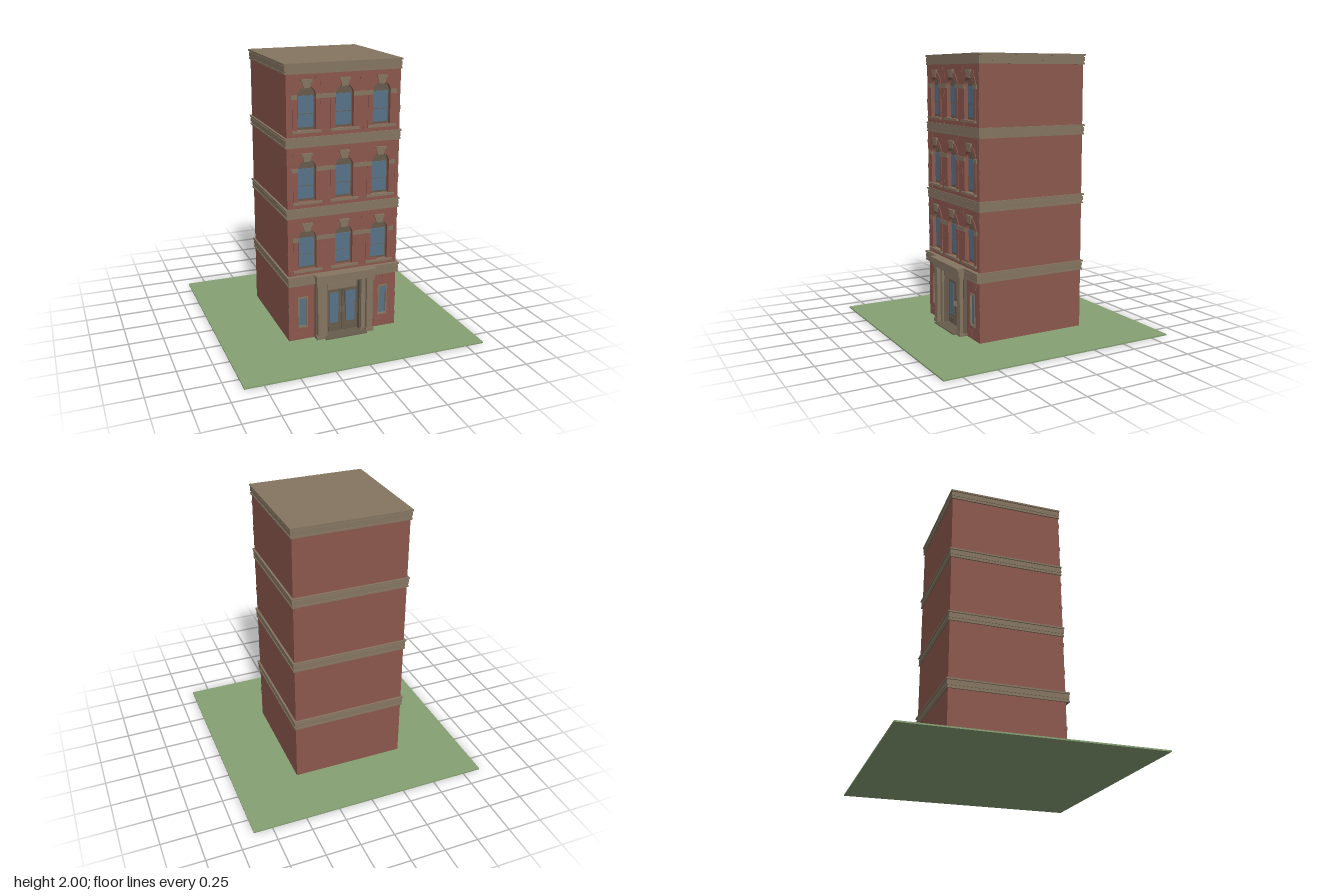
import * as THREE from 'three';

const mat = (name, color) => {
  const m = new THREE.MeshStandardMaterial({ color });
  m.name = name;
  return m;
};

export function createModel() {
  const model = new THREE.Group();
  model.name = 'townhouse';
  const brick = mat('brick red', 0x8c584d);
  const stone = mat('tan stone', 0x857561);
  const dark = mat('dark stone', 0x675c4d);
  const glass = mat('blue glass', 0x587389);
  const grass = mat('grass green', 0x86a073);

  const add = (name, geometry, material, parent = model) => {
    const mesh = new THREE.Mesh(geometry, material);
    mesh.name = name;
    parent.add(mesh);
    return mesh;
  };
  // Box given by its limits on each axis
  const box = (name, material, x0, x1, y0, y1, z0, z1, parent) => {
    const g = new THREE.BoxGeometry(x1 - x0, y1 - y0, z1 - z0);
    g.translate((x0 + x1) / 2, (y0 + y1) / 2, (z0 + z1) / 2);
    return add(name, g, material, parent);
  };
  // Round-headed outline: half width, sill height and spring height
  const arch = (Type, cx, hw, y0, ys) => {
    const p = new Type();
    p.moveTo(cx - hw, y0);
    p.lineTo(cx + hw, y0);
    p.lineTo(cx + hw, ys);
    p.absarc(cx, ys, hw, 0, Math.PI, false);
    p.lineTo(cx - hw, y0);
    return p;
  };
  const rect = (Type, x0, x1, y0, y1) => {
    const p = new Type();
    p.moveTo(x0, y0);
    p.lineTo(x1, y0);
    p.lineTo(x1, y1);
    p.lineTo(x0, y1);
    p.lineTo(x0, y0);
    return p;
  };
  const extrude = (shape, z0, z1) => {
    const g = new THREE.ExtrudeGeometry(shape, { depth: z1 - z0, bevelEnabled: false, curveSegments: 16 });
    return g.translate(0, 0, z0);
  };

  const W = 0.415, BACK = -0.45, FRONT = 0.385, INNER = 0.35;
  const columns = [-0.273, 0, 0.273];
  const floors = [0.5, 1.0, 1.5];

  // Lawn, main block and pierced front wall
  box('lawn', grass, -0.885, 0.885, 0, 0.01, -0.885, 0.885);
  box('buildingBody', brick, -W, W, 0.01, 1.97, BACK, INNER);
  const wall = rect(THREE.Shape, -W, W, 0.01, 1.97);
  for (const f of floors) for (const x of columns) wall.holes.push(arch(THREE.Path, x, 0.066, f + 0.05, f + 0.28));
  for (const s of [-1, 1]) wall.holes.push(rect(THREE.Path, s * 0.31 - 0.03, s * 0.31 + 0.03, 0.11, 0.335));
  wall.holes.push(rect(THREE.Path, -0.14, 0.14, 0.015, 0.44));
  add('frontWall', extrude(wall, INNER, FRONT), brick);

  // Arched windows, repeated on three floors
  const arched = (x, f) => {
    const g = new THREE.Group();
    g.name = 'archedWindow';
    g.position.set(x, f, 0);
    model.add(g);
    add('windowFrame', extrude(arch(THREE.Shape, 0, 0.066, 0.05, 0.28), INNER, 0.36), dark, g);
    box('lowerPane', glass, -0.056, 0.056, 0.067, 0.154, 0.36, 0.363, g);
    box('upperPane', glass, -0.056, 0.056, 0.16, 0.28, 0.36, 0.366, g);
    const surround = arch(THREE.Shape, 0, 0.1, 0.05, 0.28);
    surround.holes.push(arch(THREE.Path, 0, 0.066, 0.0501, 0.28));
    add('brickSurround', extrude(surround, FRONT, 0.39), brick, g);
    box('sill', stone, -0.106, 0.106, 0.034, 0.05, 0.36, 0.402, g);
    const key = new THREE.Shape([[-0.022, 0.335], [0.022, 0.335], [0.032, 0.377], [-0.032, 0.377]]
      .map(([a, b]) => new THREE.Vector2(a, b)));
    add('keystone', extrude(key, 0.37, 0.397), stone, g);
    box('keystoneCap', stone, -0.038, 0.038, 0.377, 0.393, 0.38, 0.401, g);
  };
  for (const f of floors) {
    for (const x of columns) arched(x, f);
    for (const [a, b] of [[-0.385, -0.339], [-0.207, -0.066], [0.066, 0.207], [0.339, 0.385]])
      box('impostBand', stone, a, b, f + 0.262, f + 0.292, 0.38, 0.393);
  }

  // Stepped cornices: bottom, top, side overhang and front overhang
  const layers = [[0, 0.012, 0.01, 0.004], [0.012, 0.022, 0.005, 0.002], [0.022, 0.052, 0.009, 0.004],
    [0.052, 0.06, 0.005, 0.002], [0.06, 0.072, 0.014, 0.007]];
  for (const y of [0.438, 0.932, 1.432, 1.928])
    for (const [a, b, side, front] of layers) {
      const extra = y < 0.5 ? 0.022 : 0;
      box('cornice', stone, -W - side, W + side, y + a, y + b, BACK - side, FRONT + front + extra);
    }

  // Entrance porch
  for (const [a, b, hw, z] of [[0.438, 0.452, 0.222, 0.445], [0.452, 0.492, 0.225, 0.452], [0.492, 0.51, 0.23, 0.465]])
    box('porchEntablature', stone, -hw, hw, a, b, 0.36, z);
  box('doorStep', dark, -0.16, 0.16, 0.01, 0.018, 0.35, 0.465);
  for (const s of [-1, 1]) {
    const side = (name, m, a, b, y0, y1, z0, z1) =>
      box(name, m, Math.min(s * a, s * b), Math.max(s * a, s * b), y0, y1, z0, z1);
    side('porchPillar', stone, 0.165, 0.212, 0.01, 0.438, 0.36, 0.438);
    side('pillarBase', stone, 0.16, 0.222, 0.01, 0.035, 0.36, 0.443);
    side('pillarCapital', stone, 0.16, 0.22, 0.418, 0.438, 0.36, 0.443);
    side('pillarBackStrip', dark, 0.212, 0.222, 0.01, 0.438, 0.36, 0.41);
    side('innerPilaster', stone, 0.132, 0.165, 0.01, 0.438, 0.35, 0.412);
    side('pilasterEdge', dark, 0.124, 0.132, 0.01, 0.438, 0.35, 0.395);
    // Double door leaf
    side('doorLeaf', dark, 0.003, 0.124, 0.018, 0.345, 0.35, 0.362);
    side('doorGlassFrame', dark, 0.022, 0.108, 0.078, 0.337, 0.362, 0.365);
    side('doorGlass', glass, 0.03, 0.1, 0.088, 0.328, 0.365, 0.368);
    side('doorPanel', dark, 0.022, 0.108, 0.028, 0.066, 0.362, 0.368);
    side('doorHandle', stone, 0.008, 0.014, 0.17, 0.205, 0.362, 0.375);
    // Narrow ground-floor window
    side('sideWindowGlass', glass, 0.28, 0.34, 0.11, 0.335, INNER, 0.378);
    const frame = rect(THREE.Shape, s * 0.31 - 0.037, s * 0.31 + 0.037, 0.103, 0.342);
    frame.holes.push(rect(THREE.Path, s * 0.31 - 0.027, s * 0.31 + 0.027, 0.116, 0.33));
    add('sideWindowFrame', extrude(frame, 0.37, 0.391), stone);
  }
  box('transom', dark, -0.124, 0.124, 0.345, 0.438, 0.35, 0.364);
  box('transomPanel', stone, -0.112, 0.112, 0.355, 0.402, 0.364, 0.372);
  box('transomMoulding', stone, -0.124, 0.124, 0.41, 0.425, 0.364, 0.385);

  // Raised brick clusters scattered over the front
  const bricks = [[-0.175, 1.89], [-0.14, 1.85], [0.15, 1.895], [0.31, 1.865], [-0.14, 1.72], [-0.16, 1.53],
    [0.175, 1.525], [-0.37, 1.4], [0.075, 1.41], [0.13, 1.19], [-0.14, 1.1], [-0.37, 1.03], [-0.37, 0.895],
    [0.14, 0.9], [0.13, 0.71], [-0.12, 0.68], [-0.37, 0.527], [0.225, 0.545], [0.345, 0.395], [-0.335, 0.04], [0.28, 0.05]];
  bricks.forEach(([x, y], i) => {
    const dx = i % 2 ? 0.014 : -0.014;
    box('raisedBrick', brick, x - 0.032, x + 0.032, y, y + 0.022, 0.38, 0.389);
    box('raisedBrick', brick, x + dx - 0.02, x + dx + 0.02, y - 0.024, y - 0.002, 0.38, 0.388);
  });
  // Worn bricks along the front corners
  for (const s of [-1, 1])
    for (const y of [0.1, 0.25, 0.66, 0.87, 1.17, 1.36, 1.66, 1.86])
      box('cornerBrick', brick, s * 0.403 - 0.014, s * 0.403 + 0.014, y - 0.014, y + 0.014, 0.365, 0.388);

  return model;
}
